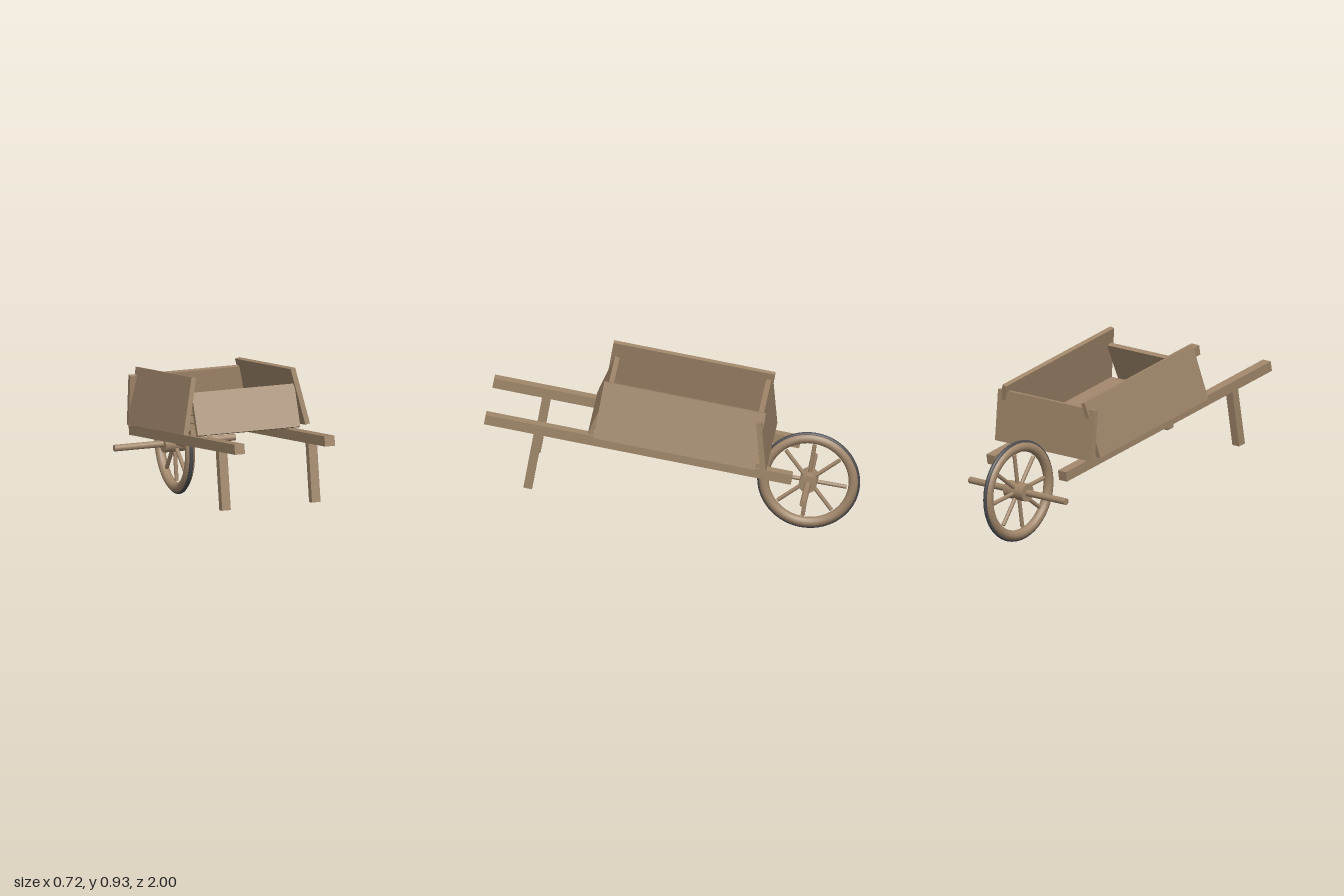
import * as THREE from 'three';

const deg = Math.PI / 180;
const TILT = -10 * deg; // the whole body slopes down towards the wheel

export function createModel() {
  const model = new THREE.Group();
  model.name = 'wheelbarrow';

  const wood = new THREE.MeshStandardMaterial({ color: 0xa0866a });
  wood.name = 'wood';
  const iron = new THREE.MeshStandardMaterial({ color: 0x4b4b4e });
  iron.name = 'iron';

  function add(parent, name, geometry, material = wood) {
    const mesh = new THREE.Mesh(geometry, material);
    mesh.name = name;
    parent.add(mesh);
    return mesh;
  }

  // A wooden board: size, centre, tilt about x, then lean about its own z
  function board(name, size, position, rx = TILT, rz = 0) {
    const mesh = add(model, name, new THREE.BoxGeometry(...size));
    mesh.position.set(...position);
    mesh.rotation.set(rx, 0, rz);
  }

  // Handles, legs and inward-leaning sides, mirrored
  for (const [side, s] of [['left', 1], ['right', -1]]) {
    board(side + 'Handle', [0.057, 0.055, 1.675], [s * 0.257, 0.539, 0.17]);
    board(side + 'Leg', [0.049, 0.33, 0.047], [s * 0.256, 0.454, 0.736]);
    board(side + 'Side', [0.027, 0.312, 0.883], [s * 0.315, 0.7, -0.057], TILT, s * 12 * deg);
  }

  // Floor planks with narrow gaps
  for (let i = 0; i < 4; i++) {
    board('floorPlank' + (i + 1), [0.14, 0.025, 0.885], [(i - 1.5) * 0.16, 0.553, -0.057]);
  }

  // End boards
  board('frontBoard', [0.585, 0.235, 0.027], [0, 0.729, 0.38], -24 * deg);
  board('backBoard', [0.69, 0.28, 0.03], [0, 0.6, -0.496], 5 * deg);

  // Wheel, built in the xy plane and turned to roll along z
  const wheel = new THREE.Group();
  wheel.name = 'wheel';
  wheel.position.set(0, 0.28, -0.722);
  wheel.rotation.y = Math.PI / 2;
  model.add(wheel);

  add(wheel, 'rim', new THREE.TorusGeometry(0.242, 0.027, 16, 64));
  add(wheel, 'tyre', new THREE.TorusGeometry(0.265, 0.012, 12, 64), iron);
  add(wheel, 'hub', new THREE.CylinderGeometry(0.048, 0.048, 0.134, 32)).rotation.x = Math.PI / 2;
  add(wheel, 'axle', new THREE.CylinderGeometry(0.018, 0.018, 0.69, 24)).rotation.x = Math.PI / 2;

  // Eight spokes
  const spoke = new THREE.CylinderGeometry(0.011, 0.011, 0.17, 12);
  spoke.translate(0, 0.122, 0);
  for (let i = 0; i < 8; i++) {
    add(wheel, 'spoke' + (i + 1), spoke).rotation.z = (i * 45 - 9) * deg;
  }

  return model;
}
